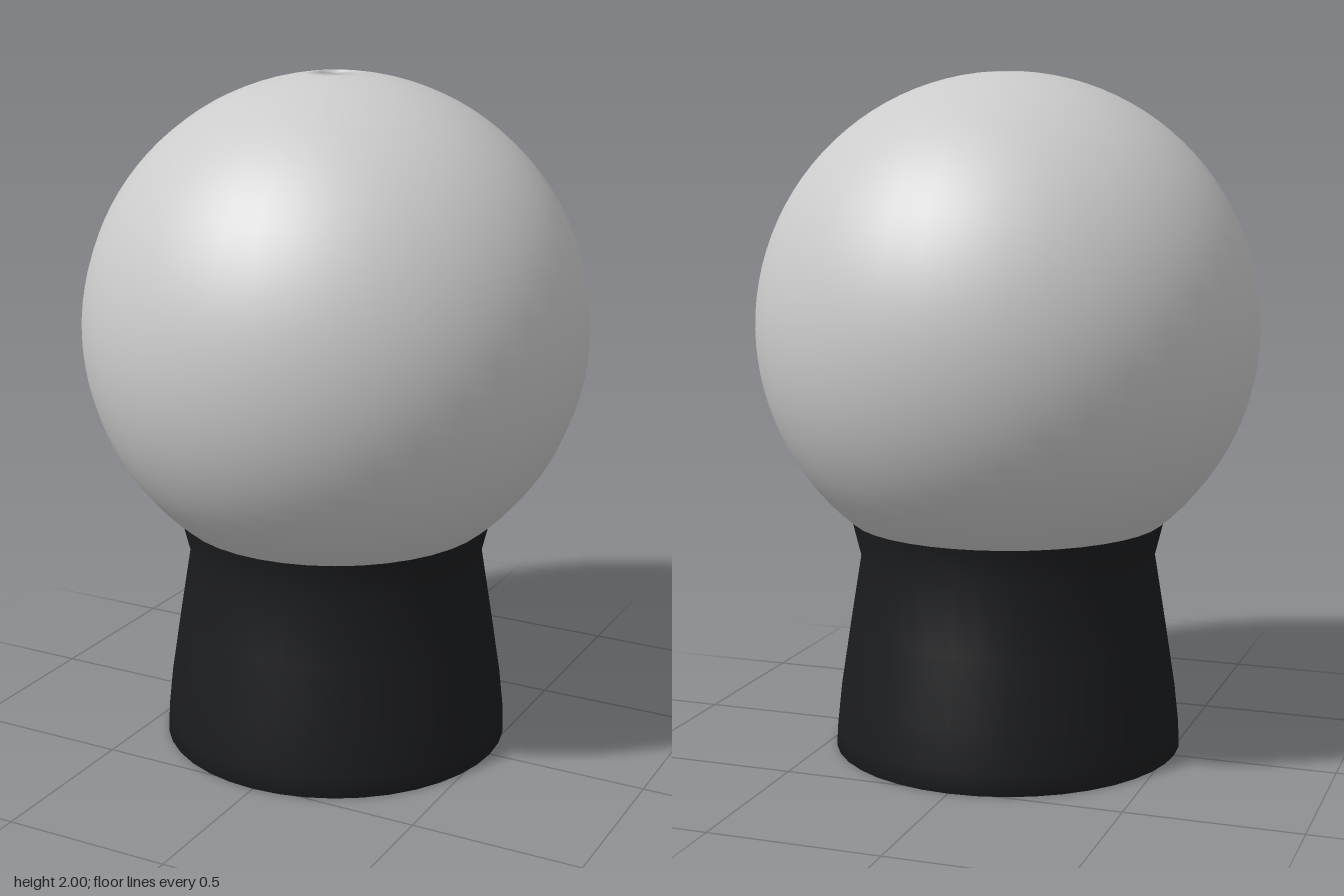
import * as THREE from 'three';

const SEGMENTS = 40;
const RADIUS = 0.74;
const CENTER_Y = 1.262;
const BORE = 0.042;

// Points along the ball's profile, between two angles measured from the bottom pole
function ballArc(from, to, steps, radius = RADIUS) {
  const points = [];
  for (let i = 0; i <= steps; i++) {
    const a = from + ((to - from) * i) / steps;
    points.push(new THREE.Vector2(radius * Math.sin(a), CENTER_Y - radius * Math.cos(a)));
  }
  return points;
}

function turned(name, points, color) {
  const material = new THREE.MeshStandardMaterial({ color });
  const mesh = new THREE.Mesh(new THREE.LatheGeometry(points, SEGMENTS), material);
  mesh.name = name;
  return mesh;
}

export function createModel() {
  const model = new THREE.Group();
  model.name = 'ballOnStand';

  // Ball with a narrow vertical bore through its centre
  const lip = Math.asin(BORE / RADIUS);
  const ball = ballArc(lip, Math.PI - lip, 48);
  ball.push(
    new THREE.Vector2(BORE, CENTER_Y + RADIUS - 0.05),
    new THREE.Vector2(BORE, CENTER_Y - RADIUS + 0.05),
    ball[0].clone(),
  );
  model.add(turned('ball', ball, 0xcccccc));

  // Flared stand: recessed underside, waisted outer wall, cup under the ball, bore
  const underside = [[0.05, 0.12], [0.055, 0.09], [0.12, 0.075], [0.3, 0.065], [0.46, 0.05], [0.5, 0]];
  const wall = [[0.52, 0], [0.517, 0.06], [0.505, 0.17], [0.474, 0.37], [0.44, 0.58], [0.467, 0.69]];
  const stand = [...underside, ...wall].map(([r, y]) => new THREE.Vector2(r, y));
  const cup = ballArc(0.06, Math.asin(0.465 / RADIUS), 10, RADIUS + 0.002).reverse();
  stand.push(...cup, stand[0].clone());
  model.add(turned('stand', stand, 0x1b1c1e));

  return model;
}
